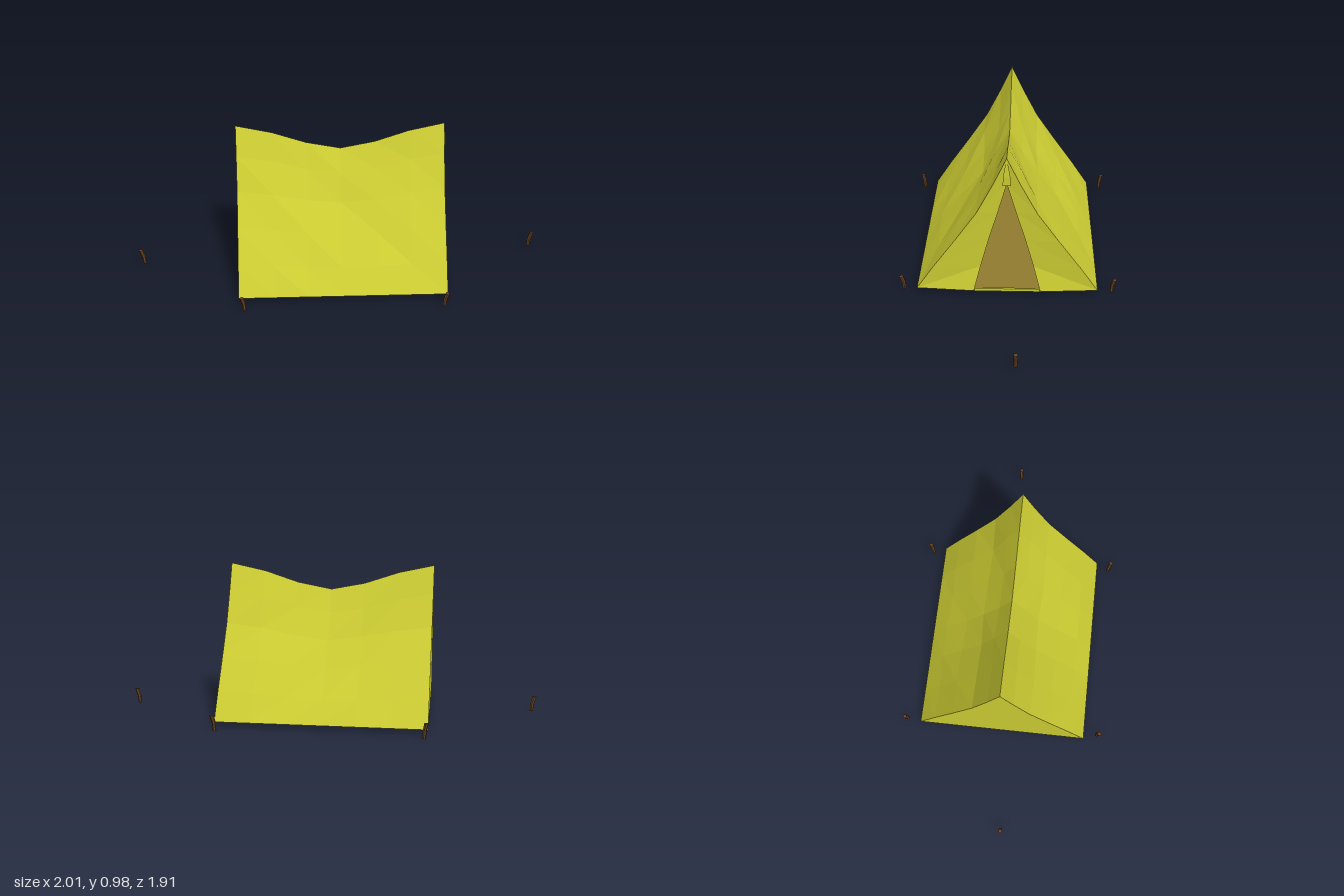
import * as THREE from 'three';

const fabric = new THREE.MeshStandardMaterial({ color: 0xcccc33, flatShading: true, side: THREE.DoubleSide });
const sheet = new THREE.MeshStandardMaterial({ color: 0x8f7a2e, flatShading: true, side: THREE.DoubleSide });
const wood = new THREE.MeshStandardMaterial({ color: 0x6b4522, flatShading: true });

// Tent cross-section: height and half width, from the ground to the ridge
const profile = [[0.03, 0.572], [0.2, 0.46], [0.4, 0.32], [0.6, 0.185], [0.8, 0.083], [0.98, 0]];
// Stations along the ridge: distance from the middle and ridge height
const stations = [[-1, 0.98], [-0.66, 0.93], [-0.33, 0.856], [0, 0.813], [0.33, 0.856], [0.66, 0.93], [1, 0.98]];
// Door edge: half width and distance forward, at each profile height
const doorEdge = [[0.21, 0.692], [0.165, 0.657], [0.113, 0.66], [0.055, 0.662], [0, 0.665], [0, 0.68]];

const endZ = (i) => 0.67 + 0.01 * i / 5;

// Faceted surface through rows of points; flip turns the faces over
function surface(name, rows, flip, material = fabric) {
  const pos = [], index = [], n = rows[0].length;
  rows.forEach((row) => row.forEach((p) => pos.push(...p)));
  for (let r = 0; r < rows.length - 1; r++) {
    for (let c = 0; c < n - 1; c++) {
      const a = r * n + c, b = a + 1, d = a + n, e = d + 1;
      if (flip) index.push(a, d, b, b, d, e);
      else index.push(a, b, d, b, e, d);
    }
  }
  const g = new THREE.BufferGeometry();
  g.setAttribute('position', new THREE.Float32BufferAttribute(pos, 3));
  g.setIndex(index);
  g.computeVertexNormals();
  const mesh = new THREE.Mesh(g, material);
  mesh.name = name;
  return mesh;
}

// Sloping roof side, sagging towards the middle with slight creases
function roofSide(s) {
  const rows = profile.map(([y, x], i) => stations.map(([t, ridge], j) => {
    const inner = i > 0 && i < 5 && j > 0 && j < 6;
    const crease = inner ? 0.008 * Math.sin(i * 2.3 + j * 1.9 + s) : 0;
    const h = 0.03 + (y - 0.03) * (ridge - 0.03) / 0.95;
    return [s * (x + crease), h, t * endZ(i)];
  }));
  return surface(s > 0 ? 'leftRoof' : 'rightRoof', rows, s > 0);
}

// Front wall half between the roof edge and the door opening
function frontPanel(s) {
  const rows = profile.map(([y, x], i) => [
    [s * doorEdge[i][0], y, doorEdge[i][1]],
    [s * x, y, endZ(i)],
  ]);
  return surface(s > 0 ? 'leftFrontPanel' : 'rightFrontPanel', rows, s < 0);
}

// Floor outline with the front edge bowed out at the door
function floorPiece(name, y, scale, material, up) {
  const shape = new THREE.Shape([
    [-0.572, 0.67], [0.572, 0.67], [0.572, -0.67], [0.21, -0.692], [-0.21, -0.692], [-0.572, -0.67],
  ].map(([x, v]) => new THREE.Vector2(x * scale, (up ? v : -v) * scale)));
  const mesh = new THREE.Mesh(new THREE.ShapeGeometry(shape), material);
  mesh.rotation.x = up ? -Math.PI / 2 : Math.PI / 2;
  mesh.position.y = y;
  mesh.name = name;
  return mesh;
}

// Crooked wooden peg whose top leans away from the tent
function peg(x, z) {
  const g = new THREE.CylinderGeometry(0.014, 0.011, 0.1, 6, 2);
  const p = g.attributes.position, len = Math.hypot(x, z);
  for (let i = 0; i < p.count; i++) {
    const y = p.getY(i), lean = y > 0.01 ? 0.012 : y < -0.01 ? -0.007 : -0.003;
    p.setX(i, p.getX(i) + lean * x / len);
    p.setZ(i, p.getZ(i) + lean * z / len);
  }
  const mesh = new THREE.Mesh(g, wood);
  mesh.position.set(x, 0.052, z);
  mesh.name = 'peg';
  return mesh;
}

export function createModel() {
  const model = new THREE.Group();
  model.name = 'tentWithPegs';

  // Tent, turned so its door faces a front corner
  const tent = new THREE.Group();
  tent.name = 'tent';
  tent.rotation.y = 0.7645;
  for (const s of [-1, 1]) tent.add(roofSide(s), frontPanel(s));

  tent.add(surface('backWall', profile.map(([y, x], i) => [-x, 0, x].map((v) => [v, y, -endZ(i)])), true));
  tent.add(floorPiece('floorUnderside', 0.03, 1, fabric, false));
  tent.add(floorPiece('groundSheet', 0.042, 0.975, sheet, true));

  // Raised sill across the foot of the door
  const sill = new THREE.Mesh(new THREE.BoxGeometry(0.41, 0.02, 0.012), fabric);
  sill.position.set(0, 0.04, 0.687);
  sill.name = 'doorSill';
  tent.add(sill);

  // Small flap hanging from the ridge above the door
  tent.add(surface('doorFlap', [
    [[-0.024, 0.8, 0.688], [0.024, 0.8, 0.688]],
    [[-0.022, 0.86, 0.69], [0.022, 0.86, 0.69]],
    [[-0.001, 0.978, 0.682], [0.001, 0.978, 0.682]],
  ], false));
  model.add(tent);

  // Pegs around the tent
  const pegs = new THREE.Group();
  pegs.name = 'pegs';
  for (const [x, z] of [[-0.985, -0.93], [0.03, -0.935], [-0.92, 0.005], [0.93, 0.005], [-0.035, 0.92], [0.98, 0.925]]) {
    pegs.add(peg(x, z));
  }
  model.add(pegs);
  return model;
}
